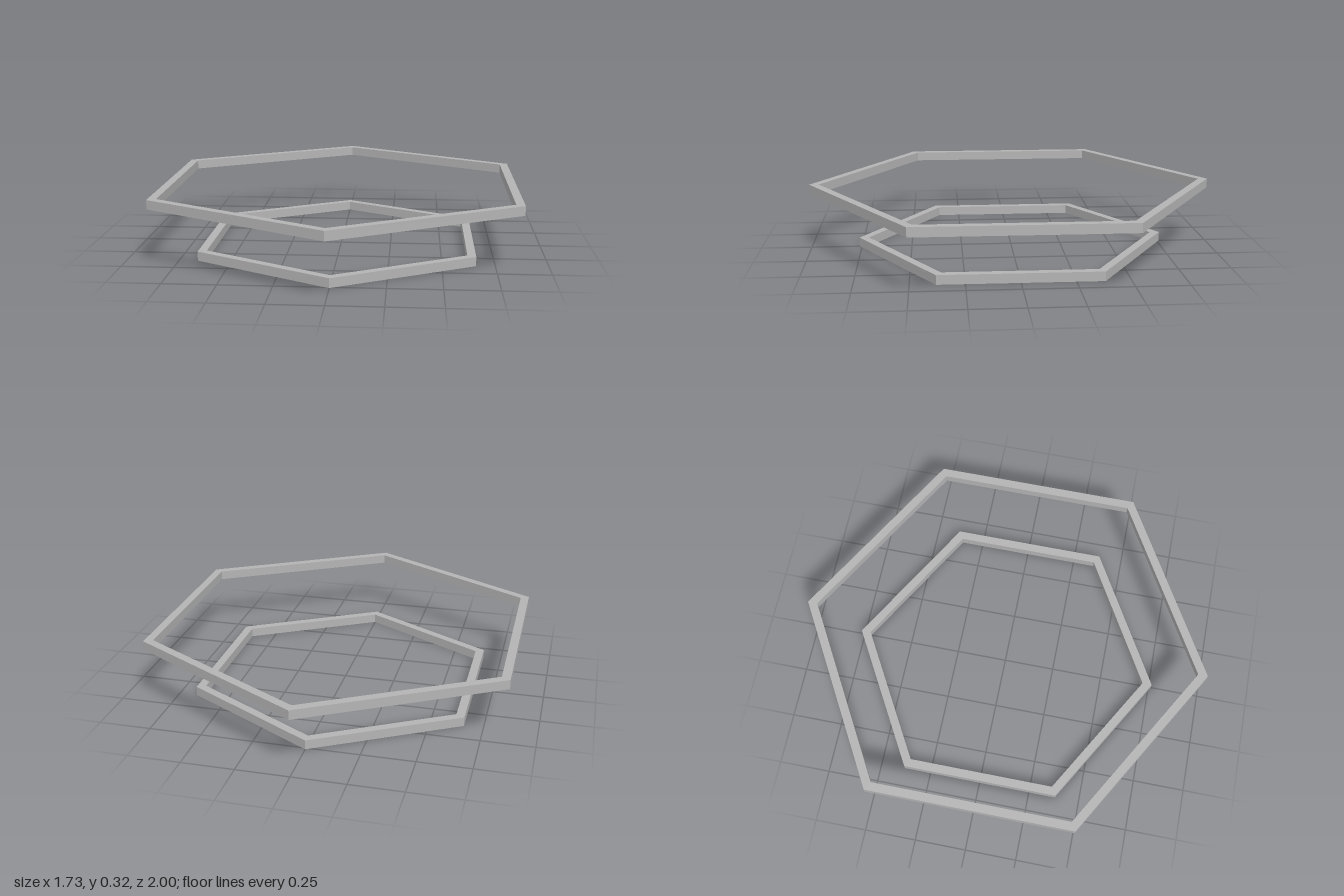
import * as THREE from 'three';

const HEIGHT = 0.045;

// Hexagon with a corner on the z axis
function hexagon(path, radius) {
  for (let i = 0; i < 6; i++) {
    const a = Math.PI / 2 + i * Math.PI / 3;
    const x = radius * Math.cos(a), y = radius * Math.sin(a);
    if (i === 0) path.moveTo(x, y);
    else path.lineTo(x, y);
  }
  path.closePath();
  return path;
}

// Flat hexagonal frame of square section, resting at height y
function hexFrame(name, outer, inner, y, material) {
  const shape = hexagon(new THREE.Shape(), outer);
  shape.holes.push(hexagon(new THREE.Path(), inner));
  const geometry = new THREE.ExtrudeGeometry(shape, { depth: HEIGHT, bevelEnabled: false });
  geometry.rotateX(-Math.PI / 2);
  const mesh = new THREE.Mesh(geometry, material);
  mesh.name = name;
  mesh.position.y = y;
  return mesh;
}

export function createModel() {
  const grey = new THREE.MeshStandardMaterial({ color: 0xb4b4b4 });
  grey.name = 'light grey';

  const model = new THREE.Group();
  model.name = 'hexagonalFrames';
  model.add(
    hexFrame('lowerFrame', 0.762, 0.715, 0, grey),
    hexFrame('upperFrame', 1, 0.953, 0.276, grey),
  );
  return model;
}
